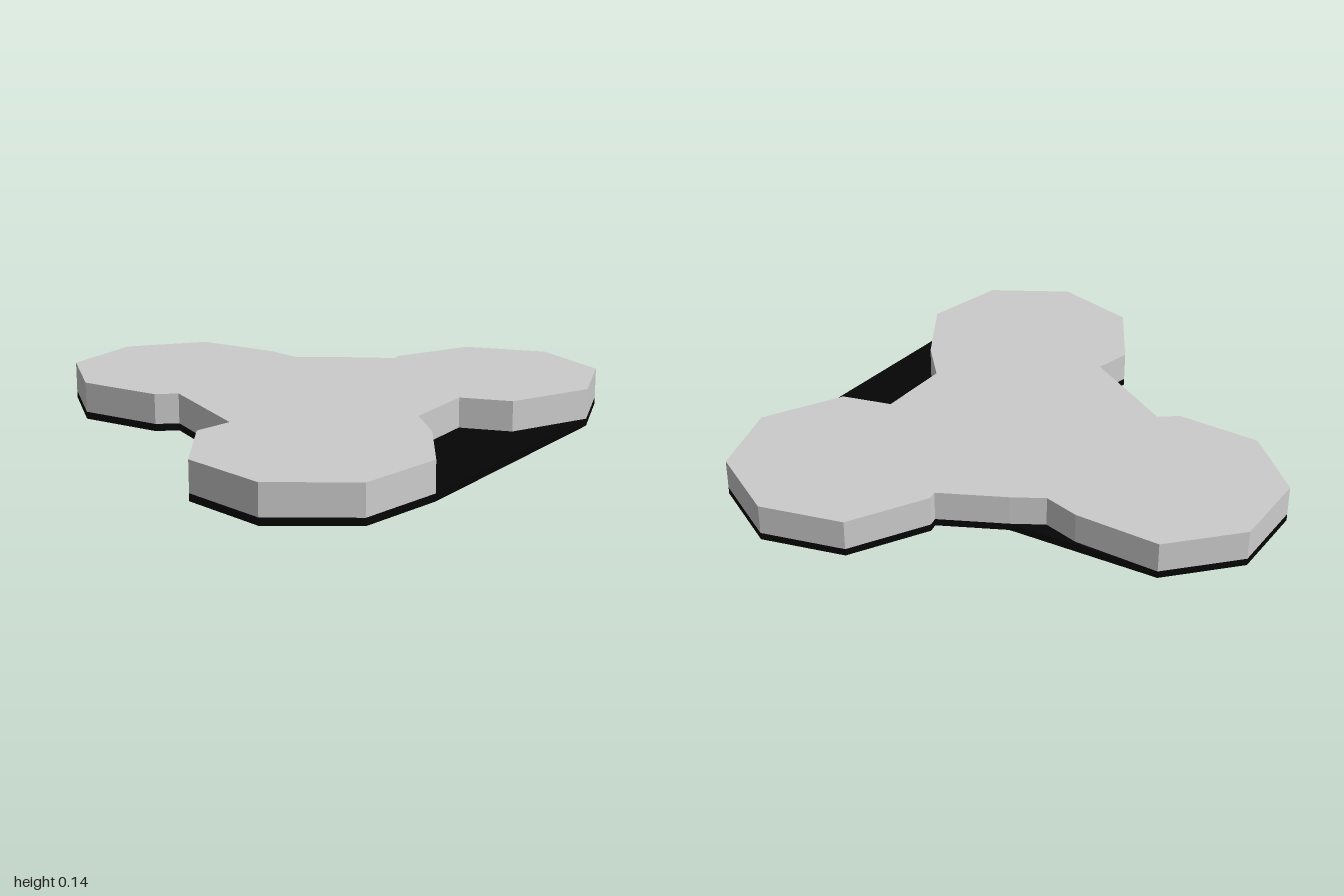
import * as THREE from 'three';

const BASE_HEIGHT = 0.027;
const TOTAL_HEIGHT = 0.14;

// Outline sections as [x, z] points, seen from above
const backLobe = [[-0.565, -0.235], [-0.64, -0.28], [-0.76, -0.58], [-0.64, -0.88], [-0.34, -1], [-0.04, -0.88]];
const backNotch = [[0.085, -0.58], [0.105, -0.44]];
const sideLobe = [[0.21, -0.36], [0.41, -0.185], [0.44, -0.205], [0.765, -0.16], [0.96, 0.095], [0.92, 0.42], [0.67, 0.62]];
const frontNotch = [[0.335, 0.58], [0.215, 0.425], [-0.06, 0.525], [-0.145, 0.7]];
const frontLobe = [[-0.34, 0.95], [-0.66, 1], [-0.92, 0.8], [-0.965, 0.475], [-0.77, 0.215], [-0.625, 0.195]];

// Flat plate standing on height y with the given outline
function plate(name, outline, y, height, color) {
  const shape = new THREE.Shape(outline.map(([x, z]) => new THREE.Vector2(x, -z)));
  const geometry = new THREE.ExtrudeGeometry(shape, { depth: height, bevelEnabled: false });
  geometry.rotateX(-Math.PI / 2);
  geometry.translate(0, y, 0);
  const mesh = new THREE.Mesh(geometry, new THREE.MeshStandardMaterial({ color, flatShading: true }));
  mesh.name = name;
  return mesh;
}

export function createModel() {
  const model = new THREE.Group();
  model.name = 'threeLobedPlatform';

  // Grey top slab with notches between its lobes
  const slabOutline = [...backLobe, ...backNotch, ...sideLobe, ...frontNotch, ...frontLobe];
  model.add(plate('topSlab', slabOutline, BASE_HEIGHT, TOTAL_HEIGHT - BASE_HEIGHT, 0xcccccc));

  // Thin black base that bridges the two notches with straight edges
  const baseOutline = [...backLobe, ...sideLobe, ...frontLobe];
  model.add(plate('base', baseOutline, 0, BASE_HEIGHT, 0x050505));

  return model;
}
